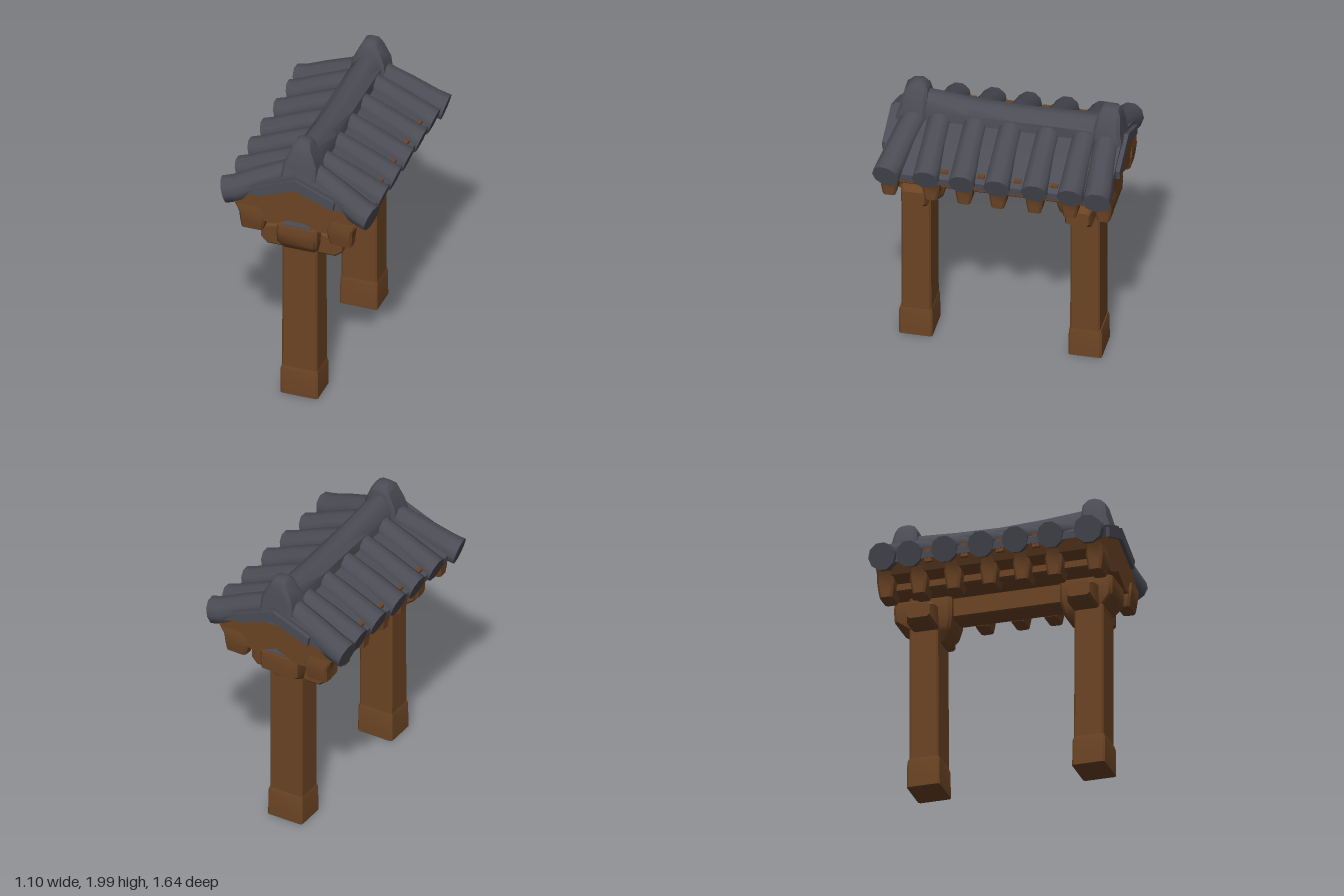
import * as THREE from 'three';
import { toCreasedNormals } from 'three/addons/utils/BufferGeometryUtils.js';

const wood = new THREE.MeshStandardMaterial({ color: 0x6b4424 });
wood.name = 'wood';
const slate = new THREE.MeshStandardMaterial({ color: 0x4c4c56 });
slate.name = 'slate';

// Closed skin over a list of rings with equal point counts, always facing outward
function loft(rings, crease = 0.7) {
  const n = rings[0].length;
  const pts = rings.flat();
  const tris = [];
  for (let i = 0; i < rings.length - 1; i++) {
    for (let j = 0; j < n; j++) {
      const a = i * n + j, b = i * n + (j + 1) % n;
      tris.push([a, b, b + n], [a, b + n, a + n]);
    }
  }
  const last = (rings.length - 1) * n;
  for (let j = 1; j < n - 1; j++) tris.push([0, j + 1, j], [last, last + j, last + j + 1]);
  let volume = 0;
  const normal = new THREE.Vector3();
  for (const [a, b, c] of tris) volume += pts[a].dot(normal.crossVectors(pts[b], pts[c]));
  const g = new THREE.BufferGeometry().setFromPoints(pts);
  g.setIndex(tris.flatMap(([a, b, c]) => (volume < 0 ? [a, c, b] : [a, b, c])));
  return toCreasedNormals(g, crease);
}

// Chamfered rectangle at t along an axis; the other two axes keep x, y, z order
function section(axis, [t, a0, a1, b0, b1], c) {
  const corners = [
    [a0 + c, b0], [a1 - c, b0], [a1, b0 + c], [a1, b1 - c],
    [a1 - c, b1], [a0 + c, b1], [a0, b1 - c], [a0, b0 + c],
  ];
  return corners.map(([a, b]) => {
    if (axis === 'x') return new THREE.Vector3(t, a, b);
    if (axis === 'y') return new THREE.Vector3(a, t, b);
    return new THREE.Vector3(a, b, t);
  });
}
const beam = (axis, rows, c = 0.012) => loft(rows.map((r) => section(axis, r, c)));

// Rounded roof roll following a sloping path
function roll(path, radius) {
  return loft(path.map((p, i) => {
    const next = path[Math.min(i + 1, path.length - 1)];
    const dir = next.clone().sub(path[Math.max(i - 1, 0)]).normalize();
    const across = new THREE.Vector3(0, 1, 0).cross(dir).normalize();
    const up = dir.clone().cross(across);
    return Array.from({ length: 10 }, (_, j) => {
      const t = (j / 10) * Math.PI * 2;
      return p.clone()
        .addScaledVector(across, Math.cos(t) * radius[i])
        .addScaledVector(up, Math.sin(t) * radius[i]);
    });
  }), 0.9);
}

// Symmetric gable profile, given as its right half, extruded along z
function gable(half, z0, z1) {
  const all = half.concat(half.slice(1, -1).reverse().map(([x, y]) => [-x, y]));
  const shape = new THREE.Shape(all.map(([x, y]) => new THREE.Vector2(x, y)));
  return new THREE.ExtrudeGeometry(shape, { depth: z1 - z0, bevelEnabled: false }).translate(0, 0, z0);
}

export function createModel() {
  const model = new THREE.Group();
  model.name = 'roofedGate';
  const add = (name, geometry, material) => {
    const mesh = new THREE.Mesh(geometry, material);
    mesh.name = name;
    model.add(mesh);
  };

  // Posts with footings, bracket heads and cross arms
  for (const [k, c, nose, label] of [[1, 0.595, 0.165, 'front'], [-1, -0.56, 0.2, 'back']]) {
    const row = (y, w, inner, outer) => [y, -w, w, ...[c + k * inner, c + k * outer].sort((a, b) => a - b)];
    add(label + 'Post', beam('y', [row(0.2, 0.126, -0.105, 0.1), row(0.7, 0.125, -0.102, 0.1), row(1.43, 0.125, -0.1, 0.1)]), wood);
    add(label + 'Footing', beam('y', [row(0.015, 0.134, -0.115, 0.114), row(0.2, 0.132, -0.112, 0.113), row(0.225, 0.126, -0.106, 0.106)]), wood);
    add(label + 'BracketHead', beam('y', [
      row(1.08, 0.08, -0.13, 0.08), row(1.14, 0.11, -0.18, 0.1), row(1.17, 0.125, -0.185, 0.1),
      row(1.24, 0.14, -0.2, nose), row(1.33, 0.145, -0.2, nose + 0.005), row(1.375, 0.14, -0.2, nose),
    ], 0.02), wood);
    // Slate cover on the bracket head
    add(label + 'HeadCover', new THREE.BoxGeometry(0.2, 0.008, 0.09).translate(0, 1.378, c + k * (nose - 0.06)), slate);
    const zs = [c + k * -0.11, c + k * 0.075].sort((a, b) => a - b);
    const zt = [zs[0] + 0.015, zs[1] - 0.015];
    add(label + 'CrossArm', beam('x', [
      [-0.287, 1.18, 1.28, ...zt], [-0.24, 1.15, 1.3, ...zs], [-0.14, 1.15, 1.32, ...zs],
      [0.14, 1.15, 1.32, ...zs], [0.24, 1.15, 1.3, ...zs], [0.287, 1.18, 1.28, ...zt],
    ], 0.015), wood);
  }

  // Lintel between the posts
  add('lintel', beam('z', [[-0.6, -0.09, 0.09, 1.235, 1.42], [0.6, -0.09, 0.09, 1.235, 1.42]]), wood);

  // Timber gable core, the ceiling between the posts and the slate sheets above
  add('gableCore', gable([[0, 1.7], [0.45, 1.525], [0.41, 1.455], [0.24, 1.395], [0.16, 1.385], [0, 1.455]], -0.79, 0.765), wood);
  add('ceiling', beam('z', [[-0.62, -0.24, 0.24, 1.375, 1.5], [0.64, -0.24, 0.24, 1.375, 1.5]]), wood);
  add('roofSheet', gable([[0, 1.79], [0.25, 1.69], [0.49, 1.56], [0.485, 1.51], [0.45, 1.525], [0, 1.7]], -0.8, 0.765), slate);
  add('gableCap', gable([[0, 1.77], [0.28, 1.655], [0.27, 1.59], [0, 1.69]], -0.83, 0.79), slate);

  const rollZ = [[-0.69, -0.725], [-0.54, -0.54], [-0.295, -0.295], [-0.04, -0.04], [0.2, 0.2], [0.445, 0.445], [0.61, 0.715]];
  for (const s of [1, -1]) {
    // Purlins under each slope
    add('purlin', beam('z', [[-0.72, s * 0.26 - 0.06, s * 0.26 + 0.06, 1.365, 1.46], [0.7, s * 0.26 - 0.06, s * 0.26 + 0.06, 1.365, 1.46]]), wood);

    // Rafter stubs, narrowing downward
    for (const z of [-0.74, -0.51, -0.27, -0.02, 0.21, 0.435, 0.72]) {
      add('rafter', beam('y', [
        [1.31, s * 0.315 - 0.075, s * 0.315 + 0.075, z - 0.043, z + 0.043],
        [1.36, s * 0.31 - 0.085, s * 0.31 + 0.085, z - 0.052, z + 0.052],
        [1.43, s * 0.31 - 0.09, s * 0.31 + 0.09, z - 0.06, z + 0.06],
        [1.49, s * 0.34 - 0.09, s * 0.34 + 0.09, z - 0.05, z + 0.05],
      ], 0.015), wood);
    }

    // Wooden pegs between the rolls
    for (const z of [-0.42, -0.17, 0.08, 0.33]) {
      add('peg', new THREE.BoxGeometry(0.03, 0.1, 0.05).translate(s * 0.44, 1.548, z), wood);
    }

    // Tile rolls, the outer ones a little fuller
    rollZ.forEach(([z0, z1], i) => {
      const end = i === 0 || i === 6;
      const r = end ? 0.095 : 0.09;
      const at = (x, y, t) => new THREE.Vector3(s * x, y, z0 + (z1 - z0) * t);
      add('tileRoll', roll([
        at(0.04, 1.755, 0), at(0.27, 1.654, 0.5), at(0.43, 1.575, 0.85), at(end ? 0.52 : 0.505, 1.548, 1),
      ], [r * 0.9, r * 0.95, r, r]), slate);
    });
  }

  // Sagging ridge
  add('ridge', loft([[-0.66, 1.9], [-0.35, 1.885], [-0.05, 1.88], [0.25, 1.895], [0.58, 1.925]].map(([z, top]) =>
    [[-0.1, 1.7], [0.1, 1.7], [0.1, 1.825], [0.058, top - 0.02], [0.03, top], [-0.03, top], [-0.058, top - 0.02], [-0.1, 1.825]]
      .map(([x, y]) => new THREE.Vector3(x, y, z)))), slate);

  // Ridge end finials
  add('frontFinial', beam('y', [
    [1.68, -0.13, 0.13, 0.53, 0.76], [1.84, -0.115, 0.115, 0.53, 0.71],
    [1.95, -0.068, 0.068, 0.53, 0.685], [1.985, -0.05, 0.05, 0.55, 0.65], [2, -0.03, 0.03, 0.575, 0.625],
  ], 0.02), slate);
  add('backFinial', beam('y', [
    [1.66, -0.13, 0.13, -0.815, -0.6], [1.84, -0.115, 0.115, -0.79, -0.61],
    [1.94, -0.068, 0.068, -0.78, -0.63], [1.975, -0.05, 0.05, -0.765, -0.65], [1.99, -0.03, 0.03, -0.73, -0.67],
  ], 0.02), slate);

  return model;
}
